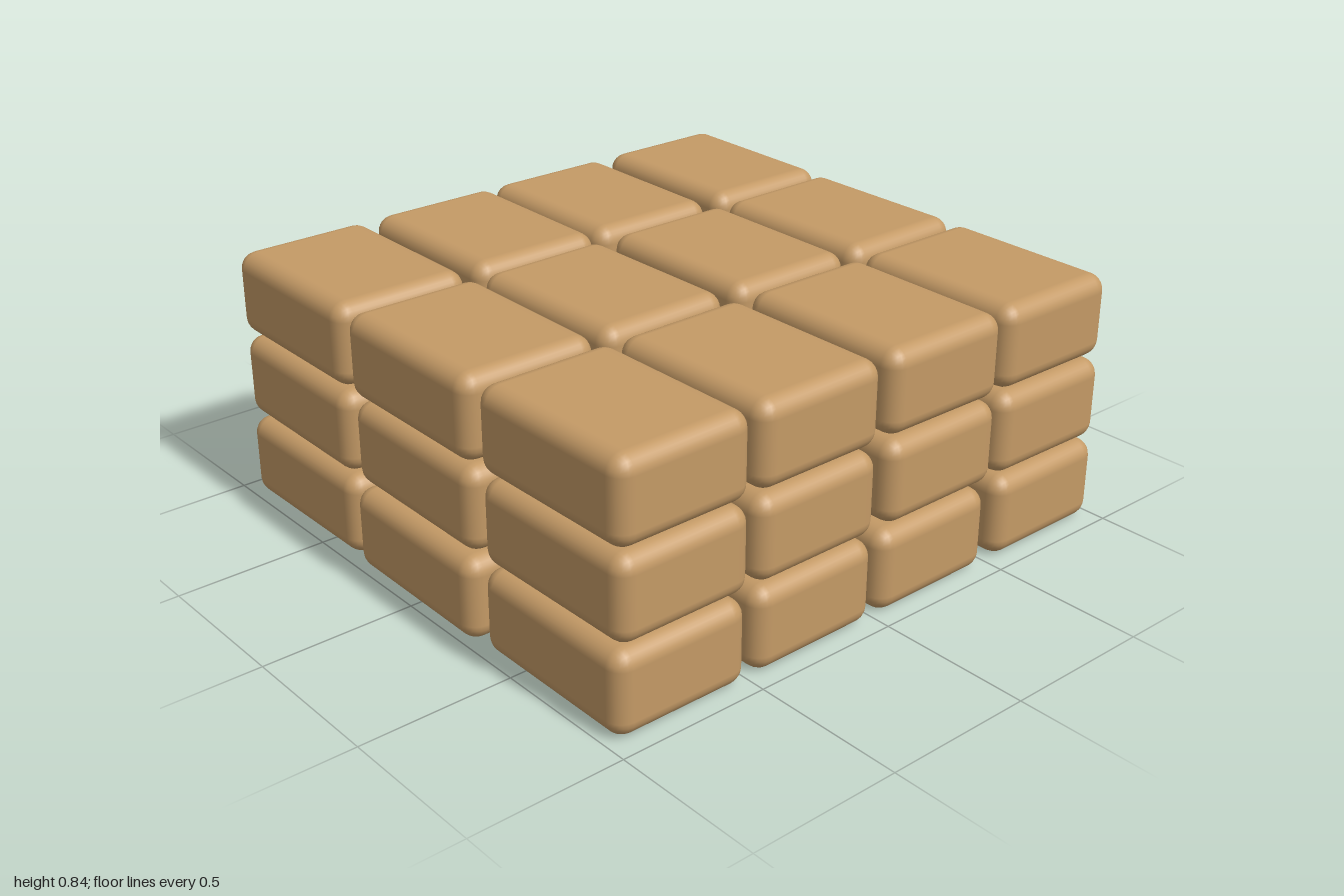
import * as THREE from 'three';
import { RoundedBoxGeometry } from 'three/addons/geometries/RoundedBoxGeometry.js';

export function createModel() {
  const group = new THREE.Group();
  group.name = 'stackedBlocks';
  const tan = new THREE.MeshStandardMaterial({ color: 0xc49a66 });
  tan.name = 'tan';

  const block = new RoundedBoxGeometry(0.467, 0.272, 0.618, 3, 0.055);

  // Hand-laid x centres: layer (bottom to top), row (back to front), column
  const centres = [
    [[-0.745, -0.252, 0.25, 0.75], [-0.758, -0.258, 0.25, 0.75], [-0.742, -0.25, 0.24, 0.755]],
    [[-0.742, -0.25, 0.25, 0.755], [-0.742, -0.245, 0.255, 0.752], [-0.735, -0.247, 0.26, 0.748]],
    [[-0.742, -0.235, 0.243, 0.757], [-0.747, -0.257, 0.255, 0.745], [-0.737, -0.247, 0.257, 0.74]],
  ];
  // Slight twist of each block, repeating along the rows
  const twists = [0.006, -0.008, -0.005, -0.007, -0.009, -0.008, -0.006, 0.01, -0.004, 0.008, 0.006];

  let n = 0;
  centres.forEach((rows, layer) => {
    const layerGroup = new THREE.Group();
    layerGroup.name = `layer${layer + 1}`;
    layerGroup.position.y = 0.14 + layer * 0.286;
    rows.forEach((columns, row) => columns.forEach((x, column) => {
      const mesh = new THREE.Mesh(block, tan);
      mesh.name = `block${layer + 1}_${row + 1}_${column + 1}`;
      mesh.position.set(x, 0, (row - 1) * 0.643);
      mesh.rotation.y = twists[n++ % twists.length];
      layerGroup.add(mesh);
    }));
    group.add(layerGroup);
  });
  return group;
}
